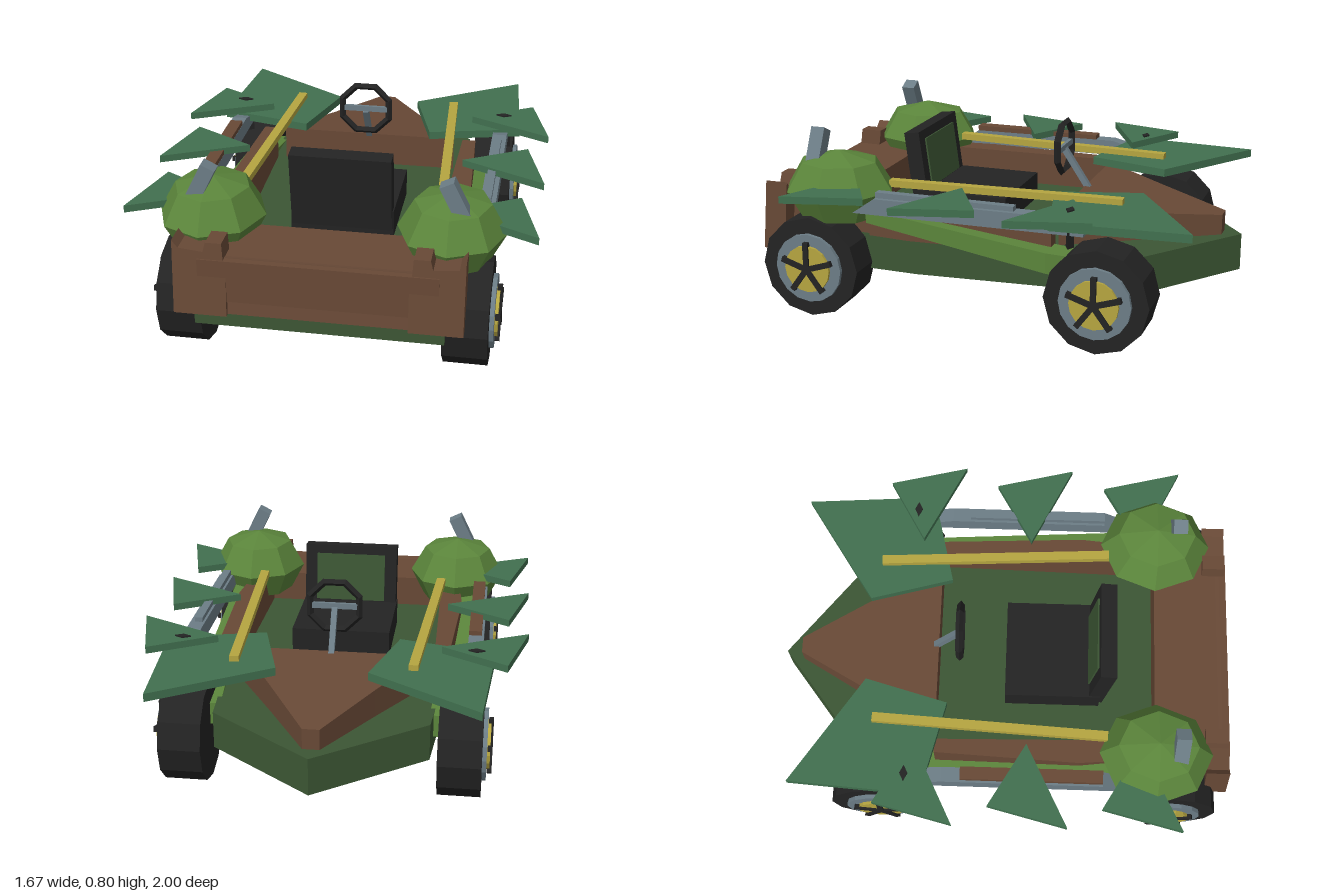
import * as THREE from 'three';

const mat = (name, color) => {
  const m = new THREE.MeshStandardMaterial({ color, flatShading: true });
  m.name = name;
  return m;
};

export function createModel() {
  const hullGreen = mat('hull green', 0x3c5634);
  const lightGreen = mat('light green', 0x5b853b);
  const leafGreen = mat('leaf green', 0x41704f);
  const brown = mat('bark brown', 0x684936);
  const grey = mat('pipe grey', 0x6c7d86);
  const yellow = mat('yellow', 0xb5a540);
  const black = mat('black', 0x232323);

  const kart = new THREE.Group();
  kart.name = 'kart';

  function add(name, geo, material, x = 0, y = 0, z = 0, parent = kart) {
    const mesh = new THREE.Mesh(geo, material);
    mesh.name = name;
    mesh.position.set(x, y, z);
    parent.add(mesh);
    return mesh;
  }
  const box = (w, h, d) => new THREE.BoxGeometry(w, h, d);

  // Solid standing on a plan outline of [x, z] points; heights may vary with z
  function slab(points, bottom, top) {
    const shape = new THREE.Shape(points.map(([x, z]) => new THREE.Vector2(x, -z)));
    const geo = new THREE.ExtrudeGeometry(shape, { depth: 1, bevelEnabled: false });
    geo.rotateX(-Math.PI / 2);
    const p = geo.attributes.position;
    const at = (v, z) => (typeof v === 'function' ? v(z) : v);
    for (let i = 0; i < p.count; i++) {
      p.setY(i, at(p.getY(i) < 0.5 ? bottom : top, p.getZ(i)));
    }
    geo.computeVertexNormals();
    return geo;
  }
  const mirrored = (half) => [...half, ...half.slice().reverse().map(([x, z]) => [-x, z])];
  const side = (points, s) => points.map(([x, z]) => [x * s, z]);

  // Bar of square section between two points
  function bar(name, a, b, w, h, material, parent = kart) {
    const from = new THREE.Vector3(...a), to = new THREE.Vector3(...b);
    const mesh = add(name, box(w, h, from.distanceTo(to)), material, 0, 0, 0, parent);
    mesh.position.copy(from).add(to).multiplyScalar(0.5);
    mesh.lookAt(to);
    return mesh;
  }

  // Pointed hull and hood
  add('hull', slab([[0, -1], [0.45, -0.65], [0.52, 0.3], [0.5, 0.97], [-0.5, 0.97], [-0.52, 0.3], [-0.45, -0.65]], 0.19, 0.35), hullGreen);
  add('hood', slab(mirrored([[0.035, -0.92], [0.22, -0.6], [0.4, -0.3]]), 0.34, (z) => 0.5 + (z + 0.3) * 0.1), brown);

  // Bumper end: deck, sloped plate and raised centre
  add('rearDeck', slab(mirrored([[0.5, 0.66], [0.5, 0.93]]), 0.34, 0.49), brown);
  const plate = add('bumperPlate', box(1.15, 0.24, 0.05), brown, 0, 0.37, 0.945);
  plate.rotation.x = -0.12;
  add('bumperCentre', box(0.95, 0.18, 0.07), brown, 0, 0.4, 0.95);

  // Steering wheel on its column
  const steering = new THREE.Group();
  steering.name = 'steering';
  kart.add(steering);
  const rim = add('steeringRim', new THREE.TorusGeometry(0.115, 0.016, 4, 8), black, 0, 0.67, -0.2, steering);
  rim.rotation.z = Math.PI / 8;
  bar('steeringColumn', [0, 0.66, -0.2], [0, 0.48, -0.32], 0.025, 0.025, grey, steering);
  add('steeringCrossbar', box(0.2, 0.025, 0.015), grey, 0, 0.67, -0.2, steering);

  // Seat with a coloured back cushion
  const seat = new THREE.Group();
  seat.name = 'seat';
  kart.add(seat);
  add('seatBase', box(0.44, 0.12, 0.42), black, 0, 0.41, 0.21, seat);
  const back = new THREE.Group();
  back.name = 'seatBack';
  back.position.set(0, 0.56, 0.42);
  back.rotation.x = 0.13;
  seat.add(back);
  add('backrest', box(0.43, 0.34, 0.07), black, 0, 0, 0, back);
  add('backCushion', box(0.32, 0.22, 0.009), hullGreen, 0, 0.02, -0.038, back);

  // Five-spoke wheel with its outer face towards +x
  function makeWheel() {
    const wheel = new THREE.Group();
    wheel.name = 'wheel';
    const disc = (name, r, x0, x1, n, m) => {
      const geo = new THREE.CylinderGeometry(r, r, x1 - x0, n);
      geo.rotateZ(-Math.PI / 2);
      add(name, geo, m, (x0 + x1) / 2, 0, 0, wheel);
    };
    disc('tyre', 0.221, 0.485, 0.665, 12, black);
    disc('wheelDisc', 0.152, 0.6, 0.683, 16, grey);
    disc('hub', 0.104, 0.6, 0.696, 16, yellow);
    for (let i = 0; i < 5; i++) {
      const geo = box(0.02, 0.12, 0.024);
      geo.translate(0.695, 0.06, 0);
      geo.rotateX((i * Math.PI * 2) / 5);
      add('spoke', geo, black, 0, 0, 0, wheel);
    }
    return wheel;
  }
  for (const z of [0.73, -0.54]) {
    for (const s of [1, -1]) {
      const wheel = makeWheel();
      wheel.position.set(0, 0.221, z);
      if (s < 0) wheel.rotation.y = Math.PI;
      kart.add(wheel);
    }
  }

  for (const s of [1, -1]) {
    // Cockpit wall and slanting side panel
    add('cockpitWall', slab(side([[0.44, -0.3], [0.5, -0.3], [0.53, 0.33], [0.5, 0.67], [0.42, 0.67]], s), 0.34, 0.5), brown);
    add('sidePanel', slab(side([[0.44, -0.55], [0.52, -0.55], [0.58, -0.3], [0.58, 0.5], [0.5, 0.5]], s),
      (z) => 0.35 + 0.165 * (z - 0.08), (z) => 0.425 + 0.13 * (z - 0.08)), lightGreen);

    // Side pipe with sloping ends, and a strip on top of it
    const profile = new THREE.Shape([[0.53, 0.48], [0.43, 0.55], [-0.26, 0.555], [-0.48, 0.5], [-0.48, 0.485]]
      .map(([z, y]) => new THREE.Vector2(-z, y)));
    const pipe = new THREE.ExtrudeGeometry(profile, { depth: 0.065, bevelEnabled: false });
    pipe.rotateY(Math.PI / 2);
    add('sidePipe', pipe, grey, s > 0 ? 0.58 : -0.645, 0, 0);
    add('pipeStrip', box(s > 0 ? 0.035 : 0.055, 0.025, 0.61), s > 0 ? grey : brown, s * 0.608, 0.562, 0.125);

    // Yellow pole
    bar('pole', [s * 0.37, 0.56, -0.57], [s * 0.425, 0.56, 0.45], 0.04, 0.03, yellow);

    // Large leaf and three small leaves
    add('largeLeaf', slab(side([[0.66, -0.92], [0.19, -0.61], [0.29, -0.25], [0.7, -0.35]], s), 0.515, 0.55), leafGreen);
    for (let i = 0; i < 3; i++) {
      const z = i * 0.487;
      add('smallLeaf', slab(side([[0.75, -0.547 + z], [0.475, -0.387 + z], [0.835, -0.207 + z]], s), 0.553, 0.584), leafGreen);
    }
    const pin = add('leafPin', new THREE.CylinderGeometry(0.035, 0.035, 0.16, 4), black, s * 0.62, 0.51, -0.418);
    pin.scale.z = 0.5;

    // Faceted bush with a leaning exhaust
    const bush = new THREE.LatheGeometry([[0, 0.41], [0.16, 0.42], [0.222, 0.54], [0.155, 0.66], [0, 0.705]]
      .map(([x, y]) => new THREE.Vector2(x, y)), 8);
    const bushMesh = add('bush', bush, lightGreen, s * 0.49, 0, 0.66);
    bushMesh.scale.z = 1.1;
    const exhaust = add('exhaust', box(0.062, 0.18, 0.062), grey, s * 0.512, 0.705, 0.75);
    exhaust.rotation.z = s * 0.46;

    // Splintered bumper corner
    const corner = new THREE.Shape([[0.36, 0.25], [0.575, 0.25], [0.575, 0.56], [0.55, 0.53], [0.45, 0.52],
      [0.44, 0.56], [0.375, 0.56], [0.37, 0.49], [0.36, 0.49]].map(([x, y]) => new THREE.Vector2(x * s, y)));
    const cornerGeo = new THREE.ExtrudeGeometry(corner, { depth: 0.1, bevelEnabled: false });
    const p = cornerGeo.attributes.position;
    for (let i = 0; i < p.count; i++) p.setZ(i, p.getZ(i) + 0.9 - (p.getY(i) - 0.25) * 0.09);
    cornerGeo.computeVertexNormals();
    add('bumperCorner', cornerGeo, brown);
  }
  return kart;
}
